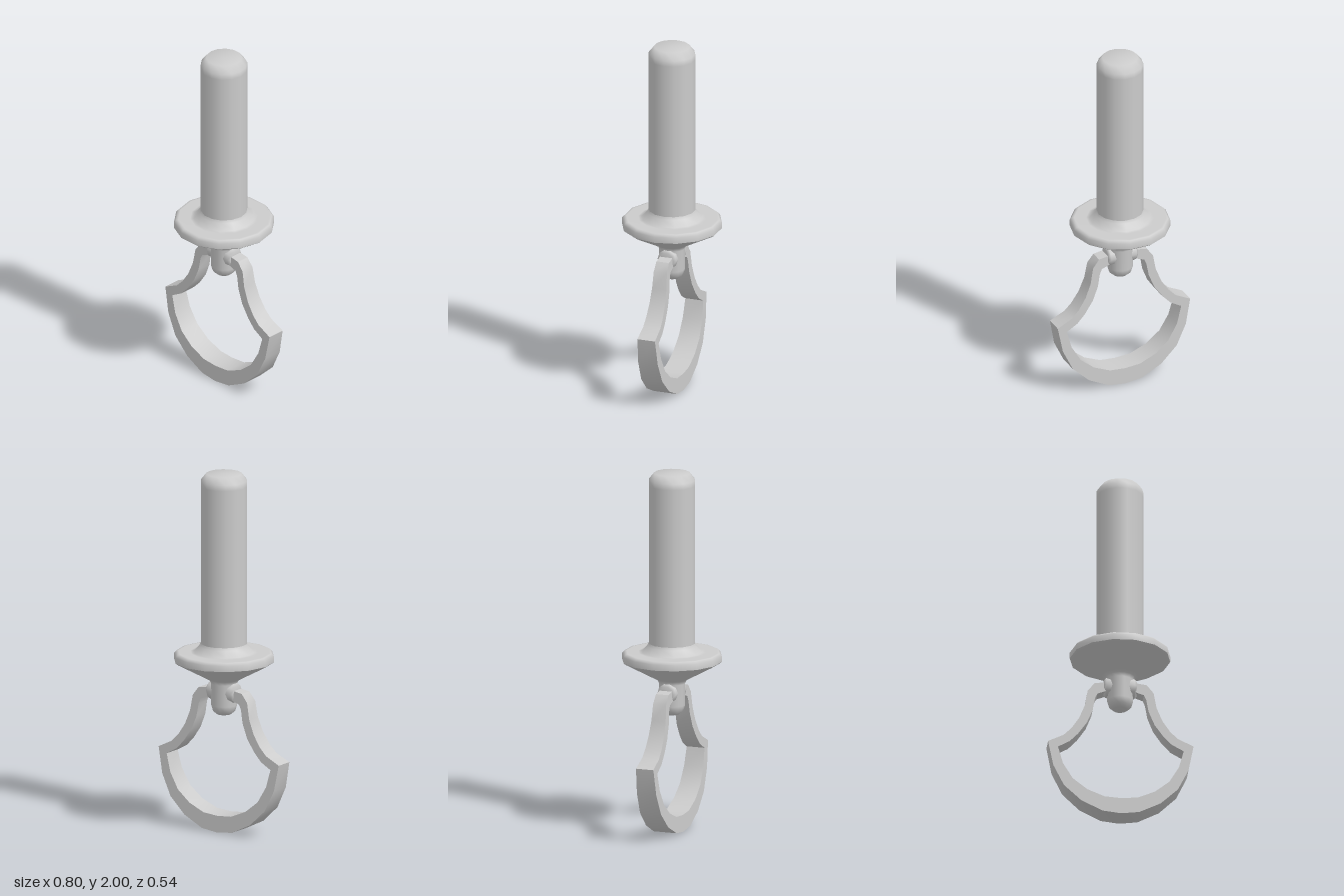
import * as THREE from 'three';
import { toCreasedNormals } from 'three/addons/utils/BufferGeometryUtils.js';

const material = new THREE.MeshStandardMaterial({ color: 0xcccccc });
const points = (list) => list.map(([x, y]) => new THREE.Vector2(x, y));

function addMesh(parent, name, geometry) {
  const mesh = new THREE.Mesh(geometry, material);
  mesh.name = name;
  parent.add(mesh);
  return mesh;
}

// Turned part with 14 sides and a corner on the x axis
const turned = (profile) => new THREE.LatheGeometry(points(profile), 14, Math.PI / 2);

export function createModel() {
  const model = new THREE.Group();
  model.name = 'pinWithHandle';

  // Round-ended stem flaring into the underside of the collar
  addMesh(model, 'stem', turned([
    [0, 0.65], [0.04, 0.653], [0.062, 0.672], [0.072, 0.705], [0.072, 0.825], [0.082, 0.845],
    [0.1, 0.855], [0.262, 0.942], [0.275, 0.952],
  ]));

  // Flat collar with a softened rim and a fillet up to the pin
  addMesh(model, 'collar', turned([
    [0.275, 0.952], [0.275, 0.985], [0.262, 0.999], [0.25, 1],
    [0.185, 1], [0.165, 1.002], [0.135, 1.035], [0.128, 1.05],
  ]));

  // Long pin with a bevelled end
  addMesh(model, 'pin', turned([
    [0.128, 1.04], [0.128, 1.1], [0.128, 1.93], [0.128, 1.962], [0.098, 2], [0, 2],
  ]));

  // Pivot bosses on both sides of the stem
  for (const side of [1, -1]) {
    const boss = addMesh(model, side > 0 ? 'leftBoss' : 'rightBoss', new THREE.LatheGeometry(points([
      [0.055, 0.04], [0.055, 0.077], [0.042, 0.09], [0, 0.09],
    ]), 10));
    boss.rotation.z = -side * Math.PI / 2;
    boss.position.y = 0.78;
  }

  // Swing handle outline: outer and inner edge of one half, then mirrored
  const outer = [
    [0.08, 0.8], [0.143, 0.79], [0.18, 0.743], [0.196, 0.653], [0.228, 0.574], [0.27, 0.51],
    [0.312, 0.468], [0.398, 0.426], [0.37, 0.28], [0.312, 0.16], [0.217, 0.07], [0.1, 0.012],
  ];
  const inner = [
    [0.08, 0.745], [0.127, 0.728], [0.14, 0.7], [0.153, 0.627], [0.185, 0.548], [0.233, 0.479],
    [0.28, 0.43], [0.344, 0.394], [0.317, 0.294], [0.264, 0.204], [0.185, 0.14], [0.09, 0.1],
  ];
  const mirrored = (list) => list.map(([x, y]) => [-x, y]).reverse();
  const outline = [
    ...outer, [0, 0], ...mirrored(outer),
    ...mirrored(inner).reverse(), [0, 0.093], ...[...inner].reverse(),
  ];
  const handle = new THREE.ExtrudeGeometry(new THREE.Shape(points(outline)), {
    depth: 1, bevelEnabled: false,
  });

  // The handle widens towards its grip
  const pos = handle.attributes.position;
  for (let i = 0; i < pos.count; i++) {
    const halfWidth = 0.068 - 0.04 * pos.getY(i);
    pos.setZ(i, (pos.getZ(i) - 0.5) * 2 * halfWidth);
  }
  addMesh(model, 'handle', toCreasedNormals(handle, 0.7));

  return model;
}
